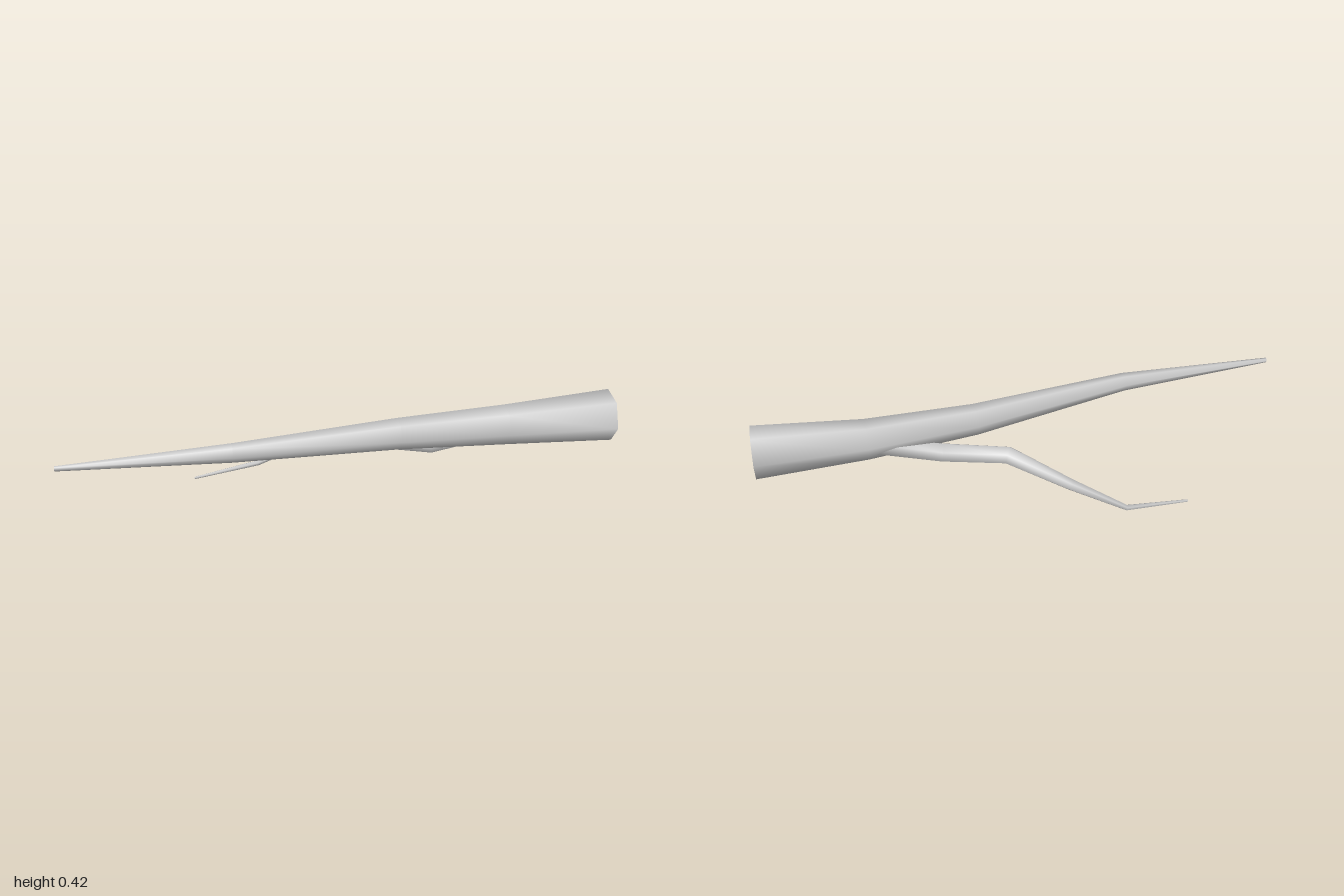
import * as THREE from 'three';

const SIDES = 6;

// Six-sided smooth limb lofted through [x, y, z, radius] rings, from thin tip to thick base
function limb(name, rings, phase, material) {
  const centres = rings.map(([x, y, z]) => new THREE.Vector3(x, y, z));
  const last = rings.length - 1;
  const loops = rings.map(([, , , r], i) => {
    const along = new THREE.Vector3();
    if (i > 0) along.add(centres[i].clone().sub(centres[i - 1]).normalize());
    if (i < last) along.add(centres[i + 1].clone().sub(centres[i]).normalize());
    along.normalize();
    const u = new THREE.Vector3(0, 0, 1).addScaledVector(along, -along.z).normalize();
    const v = u.clone().cross(along);
    return Array.from({ length: SIDES }, (_, j) => {
      const a = phase + (j / SIDES) * Math.PI * 2;
      return centres[i].clone().addScaledVector(u, r * Math.cos(a)).addScaledVector(v, r * Math.sin(a));
    });
  });

  // Bark: shared vertices give smooth normals
  const index = [];
  for (let i = 0; i < last; i++) {
    for (let j = 0; j < SIDES; j++) {
      const k = (j + 1) % SIDES;
      const a = i * SIDES + j, b = i * SIDES + k;
      const c = a + SIDES, d = b + SIDES;
      index.push(a, c, b, b, c, d);
    }
  }
  const bark = new THREE.BufferGeometry().setFromPoints(loops.flat());
  bark.setIndex(index);
  bark.computeVertexNormals();

  const group = new THREE.Group();
  group.name = name;
  const add = (part, geometry) => {
    const mesh = new THREE.Mesh(geometry, material);
    mesh.name = part;
    group.add(mesh);
  };
  add(name + 'Bark', bark);

  // Flat cut faces at both ends
  const cap = (loop, flip) => {
    const geometry = new THREE.BufferGeometry().setFromPoints(loop);
    const faces = [];
    for (let j = 1; j < SIDES - 1; j++) faces.push(0, ...(flip ? [j, j + 1] : [j + 1, j]));
    geometry.setIndex(faces);
    geometry.computeVertexNormals();
    return geometry;
  };
  add(name + 'Tip', cap(loops[0], true));
  add(name + 'CutEnd', cap(loops[last], false));
  return group;
}

export function createModel() {
  const wood = new THREE.MeshStandardMaterial({ color: 0xcccccc });
  wood.name = 'paleGreyWood';
  const model = new THREE.Group();
  model.name = 'fallenBranch';

  // Main stem
  model.add(limb('stem', [
    [-1, 0.336, 0.083, 0.009],
    [-0.4, 0.343, 0.125, 0.034],
    [0.2, 0.328, 0.103, 0.057],
    [0.6, 0.326, 0.122, 0.073],
    [0.989, 0.341, 0.161, 0.094],
  ], -0.06, wood));

  // Side twig, rooted inside the stem
  model.add(limb('twig', [
    [-0.518, 0.009, -0.247, 0.005],
    [-0.265, 0.046, -0.245, 0.011],
    [-0.062, 0.171, -0.19, 0.022],
    [0.12, 0.238, -0.031, 0.035],
    [0.34, 0.242, 0.062, 0.037],
    [0.58, 0.31, 0.105, 0.038],
  ], 0.5, wood));

  return model;
}
